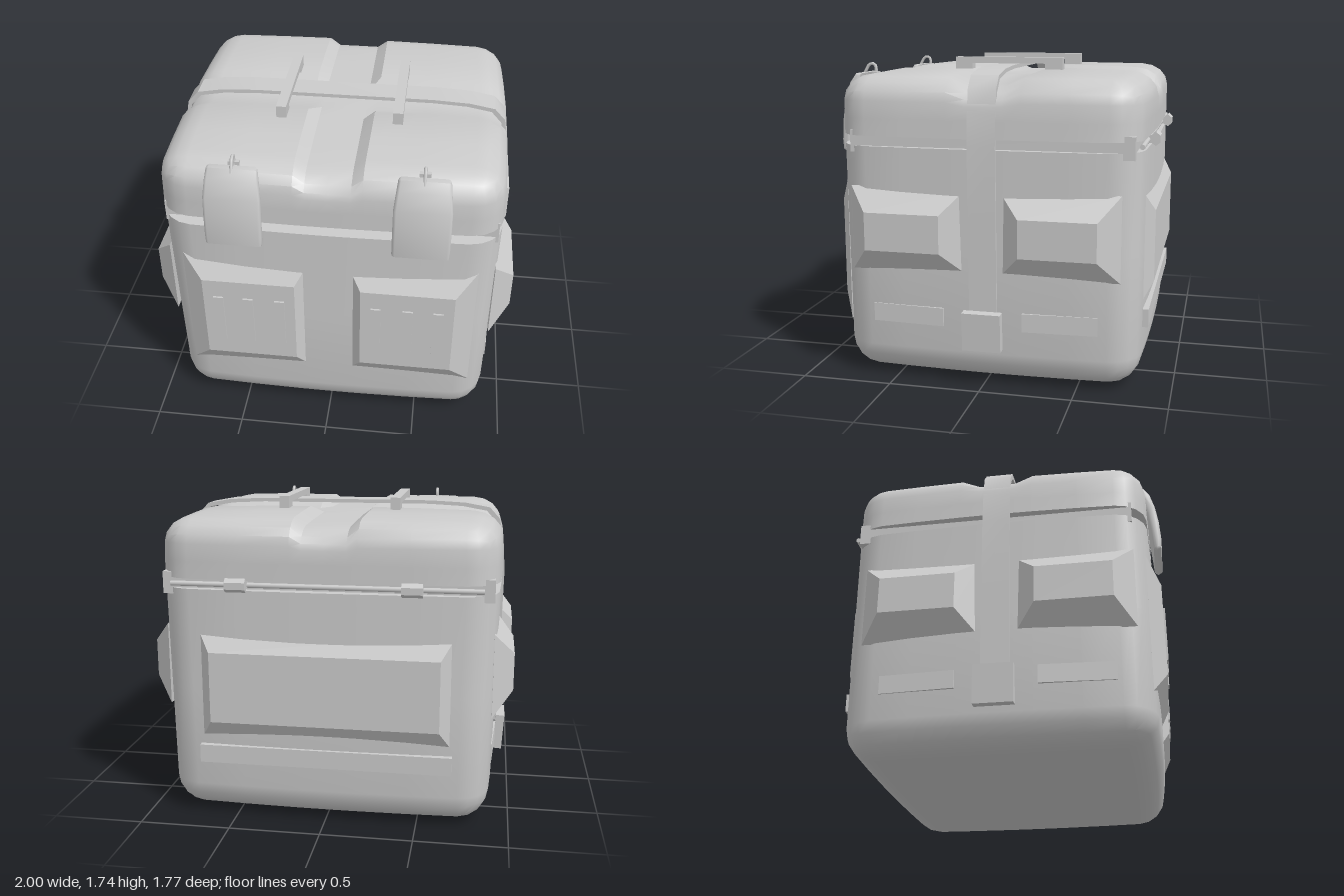
import * as THREE from 'three';
import { toCreasedNormals } from 'three/addons/utils/BufferGeometryUtils.js';

const grey = new THREE.MeshStandardMaterial({ color: 0xcccccc });
const clamp = THREE.MathUtils.clamp;

function add(parent, name, geometry, x = 0, y = 0, z = 0) {
  const mesh = new THREE.Mesh(geometry, grey);
  mesh.name = name;
  mesh.position.set(x, y, z);
  parent.add(mesh);
  return mesh;
}

// Box between two corners
function block(parent, name, x0, x1, y0, y1, z0, z1) {
  return add(parent, name, new THREE.BoxGeometry(x1 - x0, y1 - y0, z1 - z0),
    (x0 + x1) / 2, (y0 + y1) / 2, (z0 + z1) / 2);
}

// Raised panel with sloped edges, growing from z = 0 to z = depth
function raisedPanel(base, face, depth) {
  const g = new THREE.BoxGeometry(1, 1, 1);
  const p = g.attributes.position;
  for (let i = 0; i < p.count; i++) {
    const front = p.getZ(i) > 0;
    const [x0, x1, y0, y1] = front ? face : base;
    p.setXYZ(i, p.getX(i) < 0 ? x0 : x1, p.getY(i) < 0 ? y0 : y1, front ? depth : 0);
  }
  g.computeVertexNormals();
  return g;
}

// Shape in the z-y plane, extruded along x and centred
function extrudeAlongX(points, width, bevel = 0) {
  const shape = new THREE.Shape(points.map(([z, y]) => new THREE.Vector2(z, y)));
  const g = new THREE.ExtrudeGeometry(shape, {
    depth: width - 2 * bevel, bevelEnabled: bevel > 0, bevelSize: bevel,
    bevelThickness: bevel, bevelOffset: -bevel, bevelSegments: 2,
  });
  g.translate(0, 0, bevel - width / 2);
  g.rotateY(-Math.PI / 2);
  return g;
}

// Rounded, slightly swollen box; only its top (end = 1) or bottom (end = -1) edge is rounded
function shell({ hx, hz, y0, y1, end, r, ry, crown, taper, groove }) {
  const half = (h) => [0, 0.1, 0.2, 0.45, h - r, h - 0.586 * r, h];
  const mirror = (a) => [...a.slice(1).reverse().map((v) => -v), ...a];
  const xs = mirror([0, 0.12, 0.18, 0.45, ...half(hx).slice(4)]);
  const zs = mirror(half(hz));
  const yc = end > 0 ? y1 - ry : y0 + ry;
  const ys = [y0, y1, yc, yc + end * ry * 0.414, (yc + (end > 0 ? y0 : y1)) / 2].sort((a, b) => a - b);
  const pick = (a, t) => a[Math.round((t + 0.5) * (a.length - 1))];
  const g = new THREE.BoxGeometry(1, 1, 1, xs.length - 1, ys.length - 1, zs.length - 1);
  const p = g.attributes.position;
  for (let i = 0; i < p.count; i++) {
    let x = pick(xs, p.getX(i)), y = pick(ys, p.getY(i)), z = pick(zs, p.getZ(i));
    const qx = clamp(x, r - hx, hx - r), qz = clamp(z, r - hz, hz - r);
    const d = new THREE.Vector3((x - qx) / r, Math.max(0, (y - yc) * end) / ry, (z - qz) / r);
    const len = d.length();
    if (len > 0) d.multiplyScalar(Math.max(Math.abs(d.x), d.y, Math.abs(d.z)) / len);
    x = qx + d.x * r;
    z = qz + d.z * r;
    if ((y - yc) * end > 0) y = yc + end * d.y * ry;
    const sx = 1 - (x / hx) ** 2, sz = 1 - (z / hz) ** 2;
    y += end * crown * d.y * sx * sz;
    // Crossing channels sunk into the top
    if (groove) {
      const gx = clamp((0.18 - Math.abs(x)) / 0.06, 0, 1), gz = clamp((0.2 - Math.abs(z)) / 0.1, 0, 1);
      y -= groove * Math.max(gx, gz) * clamp((y - y0 - 0.12) / 0.15, 0, 1);
    }
    p.setXYZ(i, x * (1 + 0.03 * sz) * (1 + taper * (y - (y0 + y1) / 2)), y, z * (1 + 0.03 * sx) - 0.01);
  }
  return toCreasedNormals(g, 0.55);
}

export function createModel() {
  const model = new THREE.Group();
  model.name = 'case';

  // Main shells
  add(model, 'body', shell({ hx: 0.885, hz: 0.81, y0: 0.02, y1: 1.285, end: -1, r: 0.16, ry: 0.16, crown: 0.02, taper: 0.02 }));
  block(model, 'neck', -0.885, 0.885, 1.25, 1.37, -0.79, 0.73);
  add(model, 'lid', shell({ hx: 0.895, hz: 0.81, y0: 1.34, y1: 1.655, end: 1, r: 0.16, ry: 0.13, crown: 0.018, taper: -0.04, groove: 0.045 }));

  // Front panels with raised ribs
  for (const s of [-1, 1]) {
    const panel = new THREE.Group();
    panel.name = 'frontPanel';
    model.add(panel);
    const span = (a, b) => (s > 0 ? [a, b] : [-b, -a]);
    add(panel, 'frontPanelFace', raisedPanel([...span(0.1, 0.8), 0.29, 1.08], [...span(0.18, 0.69), 0.42, 0.95], 0.075), 0, 0, 0.79);
    for (const x of [0.265, 0.44, 0.605])
      block(panel, 'rib', s * x - 0.028, s * x + 0.028, 0.53, 0.84, 0.84, 0.876);
  }

  // Back panel and strip
  const back = add(model, 'backPanel', raisedPanel([-0.7, 0.7, 0.43, 1.08], [-0.62, 0.62, 0.56, 0.95], 0.075), 0, 0, -0.805);
  back.rotation.y = Math.PI;
  block(model, 'backStrip', -0.69, 0.69, 0.32, 0.42, -0.862, -0.78);

  // Side bumpers and strips
  for (const s of [-1, 1]) {
    for (const f of [-1, 1]) {
      const span = (a, b) => (s * f > 0 ? [-b, -a] : [a, b]);
      const bump = add(model, 'sideBumper', raisedPanel([...span(0.09, 0.73), 0.61, 1.07], [...span(0.21, 0.62), 0.74, 0.945], 0.11), s * 0.89);
      bump.rotation.y = s * Math.PI / 2;
      const strip = add(model, 'sideStrip', new THREE.BoxGeometry(0.06, 0.1, 0.4), s * 0.877, 0.37, f * 0.415);
      strip.rotation.y = s * f * -0.05;
    }
  }

  // Strap over the lid
  const half = [[0.92, 0.38], [0.93, 0.9], [0.937, 1.3], [0.925, 1.47], [0.9, 1.6], [0.84, 1.665], [0.7, 1.69], [0.5, 1.7]];
  const outer = [...half, ...half.map(([x, y]) => [-x, y]).reverse()];
  const inner = outer.map(([x, y]) => [x * 0.98, y > 1.4 ? y - 0.02 : y]).reverse();
  const strap = new THREE.ExtrudeGeometry(
    new THREE.Shape([...outer, ...inner].map(([x, y]) => new THREE.Vector2(x, y))), { depth: 0.15, bevelEnabled: false });
  add(model, 'strap', toCreasedNormals(strap, 0.6), 0, 0, -0.08);
  for (const s of [-1, 1]) {
    const buckle = add(model, 'strapBuckle', new THREE.BoxGeometry(0.05, 0.21, 0.21), s * 0.94, 0.315, -0.005);
    buckle.rotation.z = -s * 0.06;
  }

  // Top handles
  const handle = [[0.3, 1.64], [0.3, 1.735], [-0.32, 1.735], [-0.32, 1.64], [-0.22, 1.66], [-0.22, 1.7], [0.2, 1.7], [0.2, 1.66]];
  for (const s of [-1, 1]) add(model, 'topHandle', extrudeAlongX(handle, 0.055), s * 0.317);

  // Front latches: curved flap and wire hook
  const flap = [[0.84, 1.225], [0.86, 1.21], [0.882, 1.225], [0.886, 1.28], [0.878, 1.4], [0.862, 1.5], [0.835, 1.6],
    [0.8, 1.65], [0.765, 1.65], [0.79, 1.57], [0.815, 1.46], [0.83, 1.34]];
  const hook = new THREE.CatmullRomCurve3([[0.81, 1.62], [0.79, 1.66], [0.765, 1.695], [0.738, 1.695], [0.728, 1.67], [0.735, 1.63]]
    .map(([z, y]) => new THREE.Vector3(0, y, z)));
  for (const s of [-1, 1]) {
    const latch = new THREE.Group();
    latch.name = 'latch';
    latch.position.x = s * 0.488;
    model.add(latch);
    const g = extrudeAlongX(flap, 0.3, 0.016);
    const p = g.attributes.position;
    for (let i = 0; i < p.count; i++) p.setX(i, p.getX(i) * (1 - 0.12 * clamp((p.getY(i) - 1.5) / 0.15, 0, 1)));
    add(latch, 'latchFlap', toCreasedNormals(g, 0.8));
    add(latch, 'latchHook', new THREE.TubeGeometry(hook, 12, 0.009, 6));
    block(latch, 'hookPin', -0.03, 0.03, 1.63, 1.655, 0.715, 0.74);
  }

  // Rear hinge rod and knuckles
  const rod = add(model, 'hingeRod', new THREE.CylinderGeometry(0.014, 0.014, 1.66, 8), 0, 1.313, -0.82);
  rod.rotation.z = Math.PI / 2;
  for (const s of [-1, 1]) {
    const knuckle = [[-0.8, 1.295], [-0.84, 1.295], [-0.862, 1.28], [-0.885, 1.298], [-0.885, 1.335], [-0.862, 1.355], [-0.84, 1.338], [-0.8, 1.338]];
    add(model, 'hingeKnuckle', extrudeAlongX(knuckle, 0.11), s * 0.465);
  }
  return model;
}
